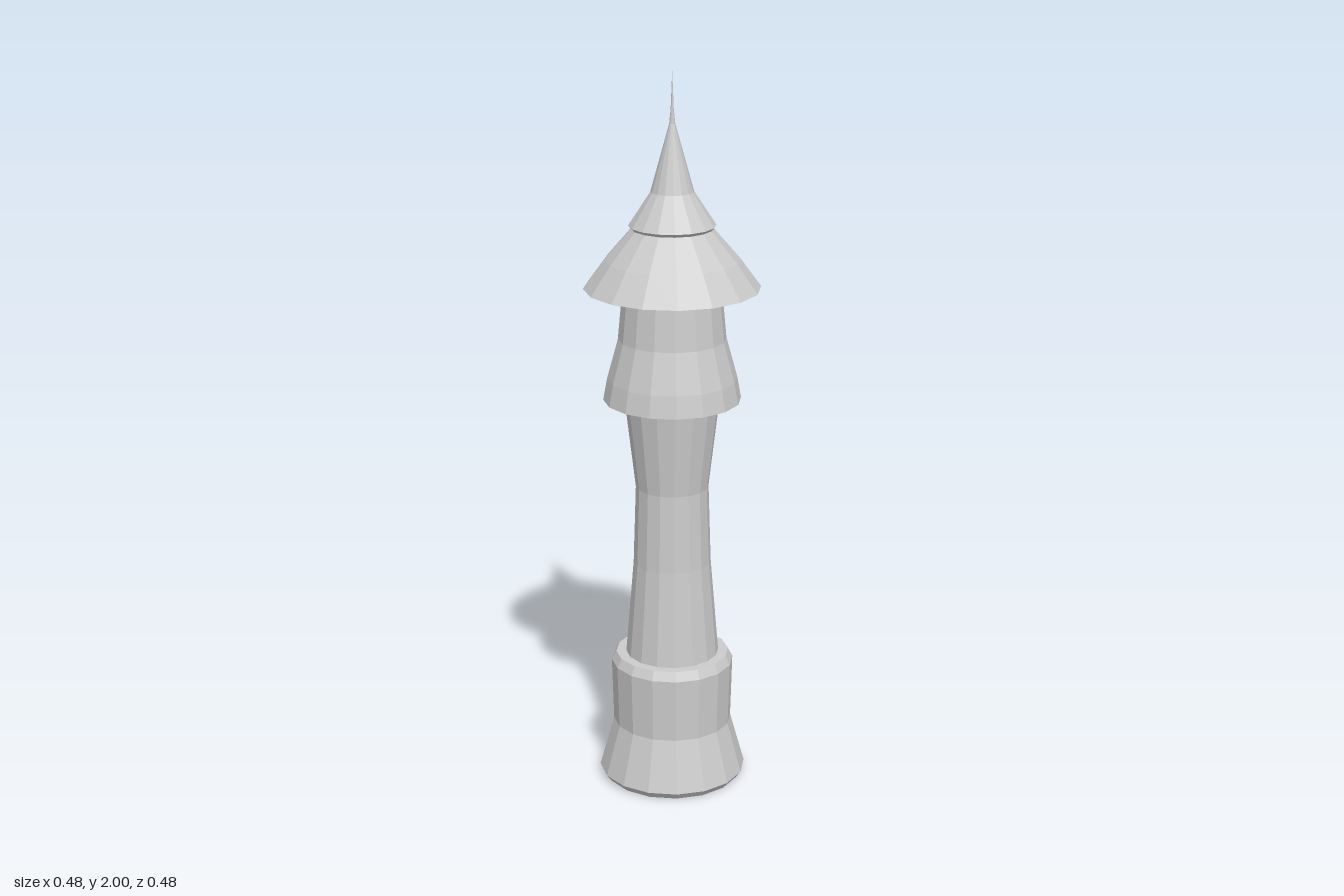
import * as THREE from 'three';

const SIDES = 16;
const material = new THREE.MeshStandardMaterial({ color: 0xcccccc, flatShading: true, side: THREE.DoubleSide });

// Turn a [radius, height] profile, listed bottom to top, into a faceted ring part
function turned(name, profile) {
  const points = profile.map(([r, y]) => new THREE.Vector2(r, y));
  const mesh = new THREE.Mesh(new THREE.LatheGeometry(points, SIDES), material);
  mesh.name = name;
  return mesh;
}

export function createModel() {
  const tower = new THREE.Group();
  tower.name = 'tower';
  tower.add(
    // flared foot with a bevelled lower edge and upper lip
    turned('base', [[0, 0], [0.19, 0], [0.205, 0.02], [0.165, 0.165], [0.17, 0.345], [0.157, 0.37], [0.12, 0.37]]),
    // waisted column
    turned('shaft', [[0.13, 0.36], [0.107, 0.64], [0.1, 0.86], [0.13, 1.115]]),
    // overhanging upper storey with a flat underside
    turned('gallery', [[0.12, 1.11], [0.187, 1.11], [0.176, 1.17], [0.146, 1.28], [0.133, 1.42], [0.13, 1.52]]),
    // hollow skirt roof, open below
    turned('lowerRoof', [[0.238, 1.42], [0.181, 1.498], [0.106, 1.585]]),
    // pointed cap with a small lip, drawn out into a needle
    turned('spire', [[0, 1.58], [0.108, 1.58], [0.117, 1.59], [0.058, 1.68], [0.008, 1.86], [0.004, 1.9], [0, 2]]),
  );
  return tower;
}
